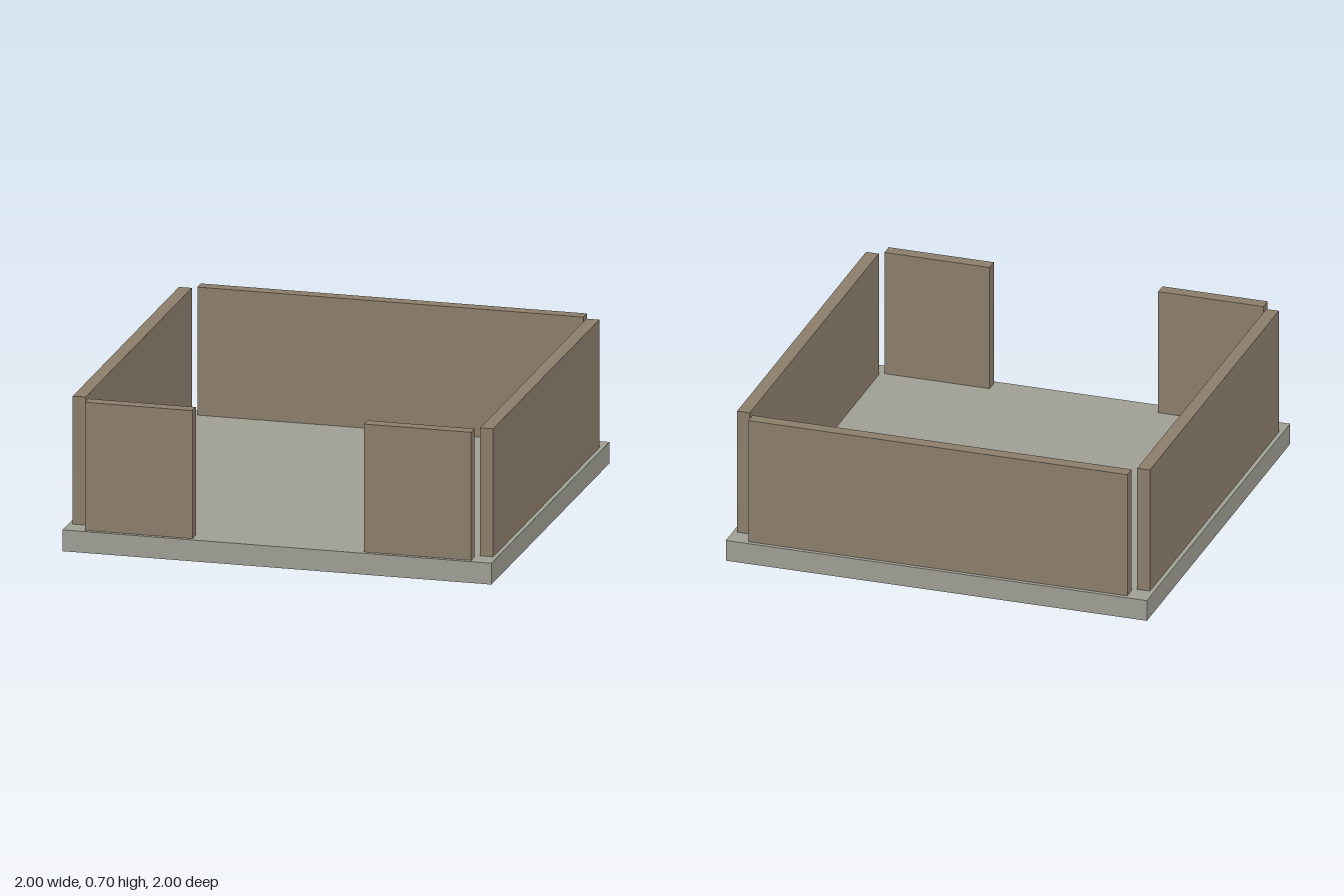
import * as THREE from 'three';

const FLOOR_H = 0.1;
const WALL_H = 0.6;
const WALL_T = 0.06;
const WALL_POS = 0.95; // wall centre line, measured from the middle

export function createModel() {
  const stone = new THREE.MeshStandardMaterial({ color: 0x9e9e94 });
  stone.name = 'grey stone';
  const clay = new THREE.MeshStandardMaterial({ color: 0x8b7d6b });
  clay.name = 'brown clay';

  const model = new THREE.Group();
  model.name = 'roofless hut';

  // Box standing on height y
  function addBox(name, material, [w, h, d], [x, y, z]) {
    const mesh = new THREE.Mesh(new THREE.BoxGeometry(w, h, d), material);
    mesh.name = name;
    mesh.position.set(x, y + h / 2, z);
    model.add(mesh);
  }

  // Floor slab
  addBox('floor', stone, [2, FLOOR_H, 2], [0, 0, 0]);

  // Back wall
  addBox('backWall', clay, [1.8, WALL_H, WALL_T], [0, FLOOR_H, -WALL_POS]);

  // Side walls and the front walls beside the doorway
  for (const [side, s] of [['left', 1], ['right', -1]]) {
    addBox(side + 'Wall', clay, [WALL_T, WALL_H, 1.8], [s * WALL_POS, FLOOR_H, 0]);
    addBox(side + 'FrontWall', clay, [0.5, WALL_H, WALL_T], [s * 0.65, FLOOR_H, WALL_POS]);
  }

  return model;
}
